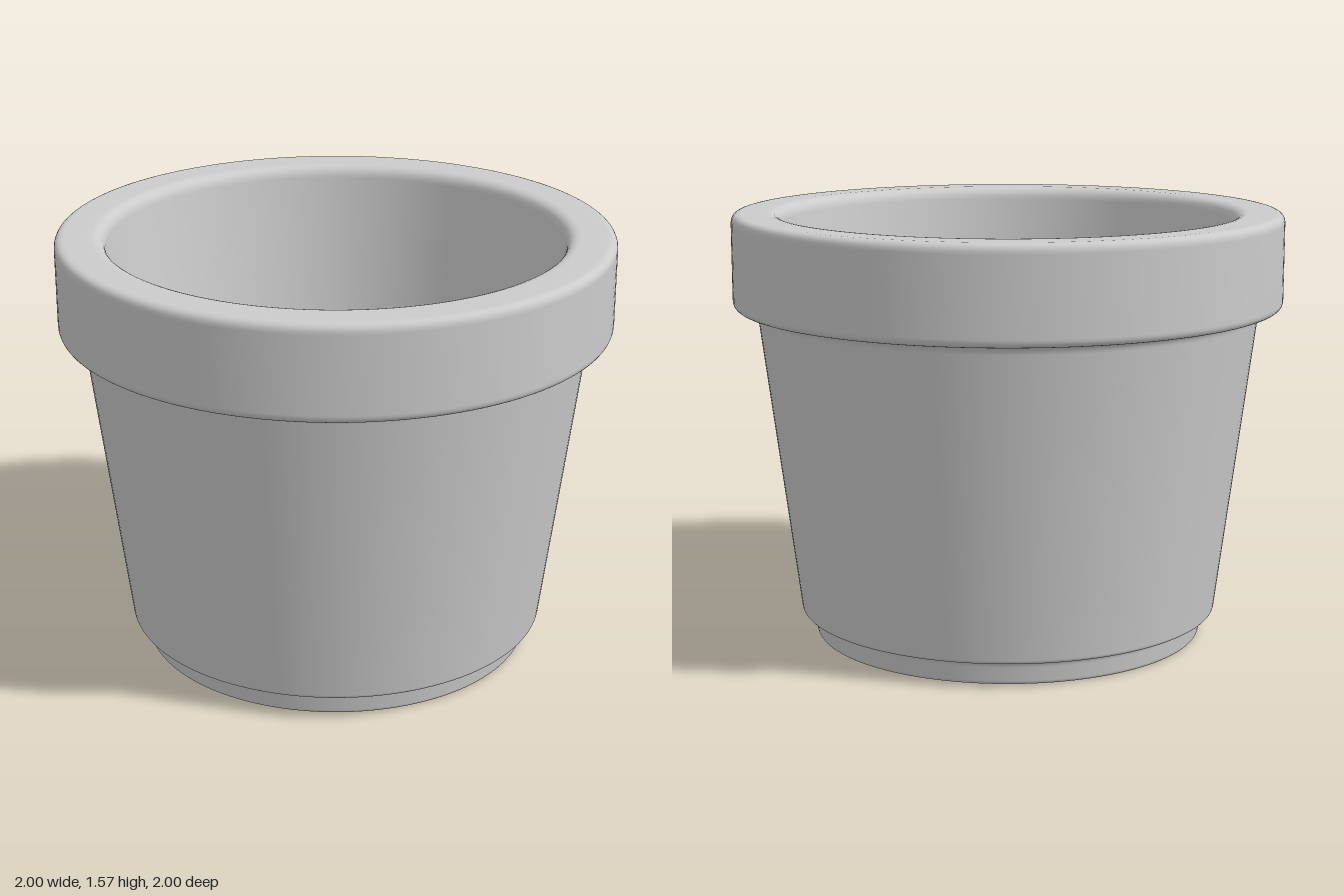
import * as THREE from 'three';

// Turns [radius, height, fillet] corners into a closed, rounded profile
function roundedProfile(corners, steps = 6) {
  const pts = [];
  const n = corners.length;
  const at = (i) => new THREE.Vector2(...corners[(i + n) % n].slice(0, 2));
  corners.forEach(([, , fillet], i) => {
    const c = at(i);
    const toward = (p) => p.sub(c).setLength(fillet).add(c);
    const curve = new THREE.QuadraticBezierCurve(toward(at(i - 1)), c, toward(at(i + 1)));
    pts.push(...curve.getPoints(steps));
  });
  pts.push(pts[0].clone());
  return pts;
}

export function createModel() {
  const group = new THREE.Group();
  group.name = 'flowerPot';

  // Wall, rim, foot, floor and drain hole are one turned solid
  const corners = [
    [0.09, 0, 0.006],      // drain hole, underside
    [0.715, 0, 0.015],     // foot
    [0.725, 0.09, 0.025],  // step under the wall
    [0.77, 0.09, 0.015],
    [0.915, 1.225, 0.035], // below the rim
    [1, 1.225, 0.03],      // rim
    [1, 1.565, 0.035],
    [0.825, 1.565, 0.045], // inner lip
    [0.635, 0.1, 0.025],   // inside floor
    [0.09, 0.1, 0.006],    // drain hole, top
  ];
  const pot = new THREE.Mesh(
    new THREE.LatheGeometry(roundedProfile(corners), 128),
    new THREE.MeshStandardMaterial({ color: 0xcccccc })
  );
  pot.name = 'pot';
  group.add(pot);
  return group;
}
